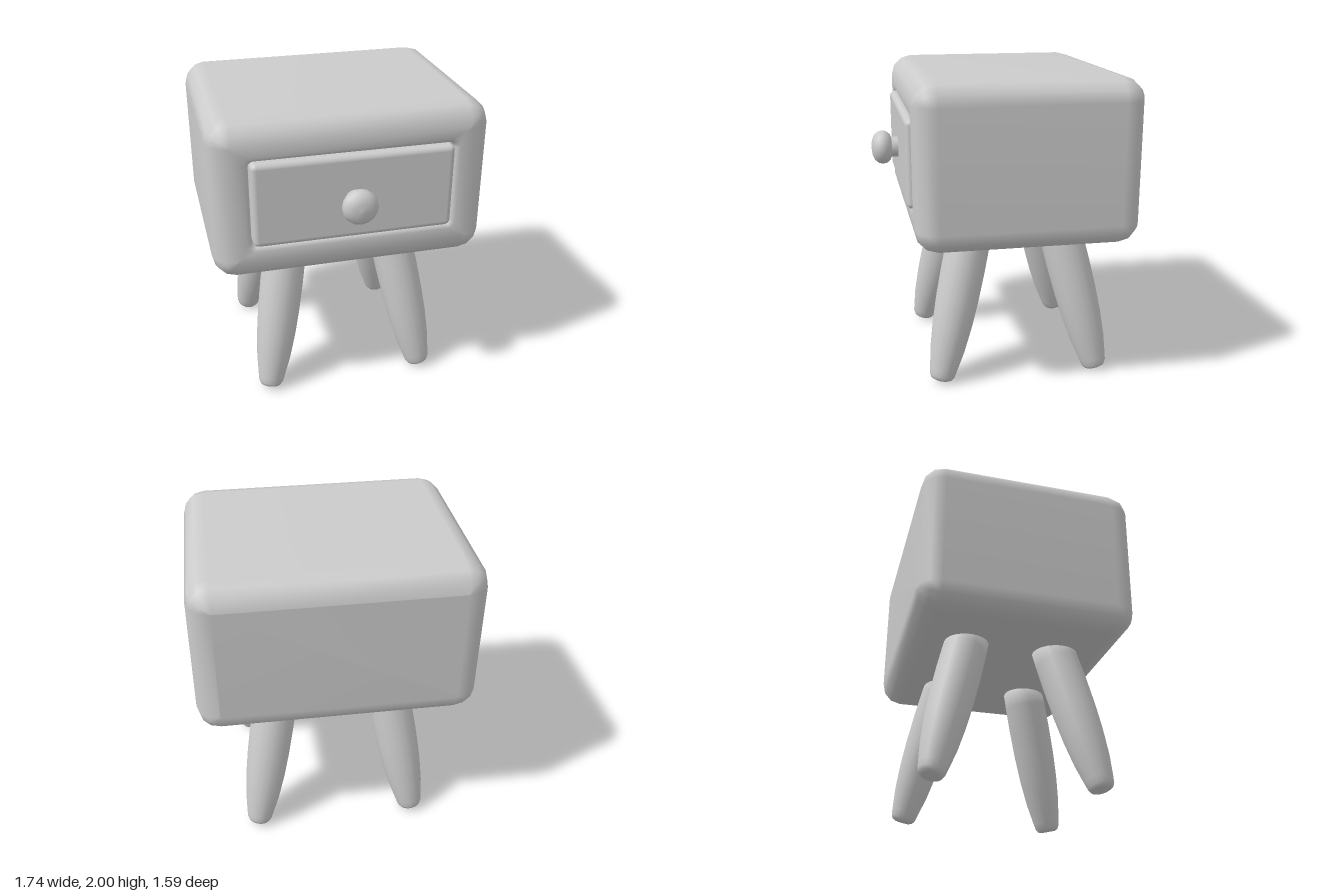
import * as THREE from 'three';
import { RoundedBoxGeometry } from 'three/addons/geometries/RoundedBoxGeometry.js';

const material = new THREE.MeshStandardMaterial({ color: 0xcccccc });

function addMesh(parent, name, geometry) {
  const mesh = new THREE.Mesh(geometry, material);
  mesh.name = name;
  parent.add(mesh);
  return mesh;
}

const lathe = (points, sides) =>
  new THREE.LatheGeometry(points.map(([r, y]) => new THREE.Vector2(r, y)), sides);

// Rounded-rectangle loop in the XY plane, counter-clockwise seen from +z
function loop(halfW, halfH, radius, z, steps) {
  const points = [];
  for (let corner = 0; corner < 4; corner++) {
    const sx = corner === 0 || corner === 3 ? 1 : -1;
    const sy = corner < 2 ? 1 : -1;
    for (let i = 0; i <= steps; i++) {
      const a = (corner + i / steps) * Math.PI / 2;
      points.push(
        sx * (halfW - radius) + radius * Math.cos(a),
        sy * (halfH - radius) + radius * Math.sin(a), z);
    }
  }
  return points;
}

// Cabinet shell: loops from the back, over the front rim and into the recess
function cabinetGeometry() {
  const w = 0.87, h = 0.5125, back = -0.79, front = 0.598, r = 0.14, steps = 3;
  const sections = []; // [inset, corner radius, z]
  for (let i = 0; i <= steps; i++) {
    const a = i / steps * Math.PI / 2;
    const inset = r * (1 - Math.sin(a));
    sections.push([inset, Math.max(r - inset, 0.004), back + r * (1 - Math.cos(a))]);
  }
  for (let i = 0; i <= steps; i++) {
    const a = i / steps * Math.PI / 2;
    const inset = r * (1 - Math.cos(a));
    sections.push([inset, Math.max(r - inset, 0.004), front - r * (1 - Math.sin(a))]);
  }
  sections.push([0.205, 0.05, front], [0.228, 0.04, front - 0.012],
    [0.236, 0.035, front - 0.04], [0.238, 0.035, front - 0.1]);

  const n = 4 * (steps + 1);
  const positions = [], index = [];
  sections.forEach(([inset, radius, z]) =>
    positions.push(...loop(w - inset, h - inset, radius, z, steps)));
  for (let s = 0; s < sections.length - 1; s++) {
    for (let i = 0; i < n; i++) {
      const a = s * n + i, b = s * n + (i + 1) % n;
      index.push(a, b, b + n, a, b + n, a + n);
    }
  }
  // Back panel and recess floor
  const last = (sections.length - 1) * n;
  for (let i = 1; i < n - 1; i++) {
    index.push(0, i + 1, i);
    index.push(last, last + i, last + i + 1);
  }
  const geometry = new THREE.BufferGeometry();
  geometry.setAttribute('position', new THREE.Float32BufferAttribute(positions, 3));
  geometry.setIndex(index);
  geometry.computeVertexNormals();
  return geometry;
}

export function createModel() {
  const model = new THREE.Group();
  model.name = 'nightstand';

  addMesh(model, 'cabinet', cabinetGeometry()).position.y = 1.4875;

  // Drawer with its knob
  const drawer = new THREE.Group();
  drawer.name = 'drawer';
  drawer.position.set(0, 1.488, 0);
  model.add(drawer);
  addMesh(drawer, 'drawerFront', new RoundedBoxGeometry(1.255, 0.545, 0.14, 3, 0.035))
    .position.z = 0.555;
  const knob = addMesh(drawer, 'knob', lathe([
    [0.068, 0], [0.068, 0.065], [0.068, 0.07], [0.085, 0.075], [0.106, 0.1],
    [0.112, 0.125], [0.106, 0.152], [0.085, 0.178], [0.05, 0.193], [0, 0.198]], 16));
  knob.position.set(0, -0.013, 0.6);
  knob.rotation.x = Math.PI / 2;

  // Four splayed, tapering legs with rounded feet
  const legProfile = [
    [0, 0], [0.05, 0], [0.07, 0.009], [0.082, 0.03], [0.09, 0.07], [0.114, 0.21],
    [0.131, 0.38], [0.14, 0.55], [0.144, 0.75], [0.143, 0.92], [0.139, 1.06], [0, 1.06]];
  const legGeometry = lathe(legProfile, 20);
  const up = new THREE.Vector3(0, 1, 0);
  for (const [side, sx] of [['Left', 1], ['Right', -1]]) {
    for (const [end, sz] of [['front', 1], ['back', -1]]) {
      const leg = addMesh(model, `${end}${side}Leg`, legGeometry);
      leg.position.set(sx * 0.535, 0.018, -0.095 + sz * 0.523);
      const axis = new THREE.Vector3(-sx * 0.175, 0.96, -sz * 0.228).normalize();
      leg.quaternion.setFromUnitVectors(up, axis);
    }
  }
  return model;
}
